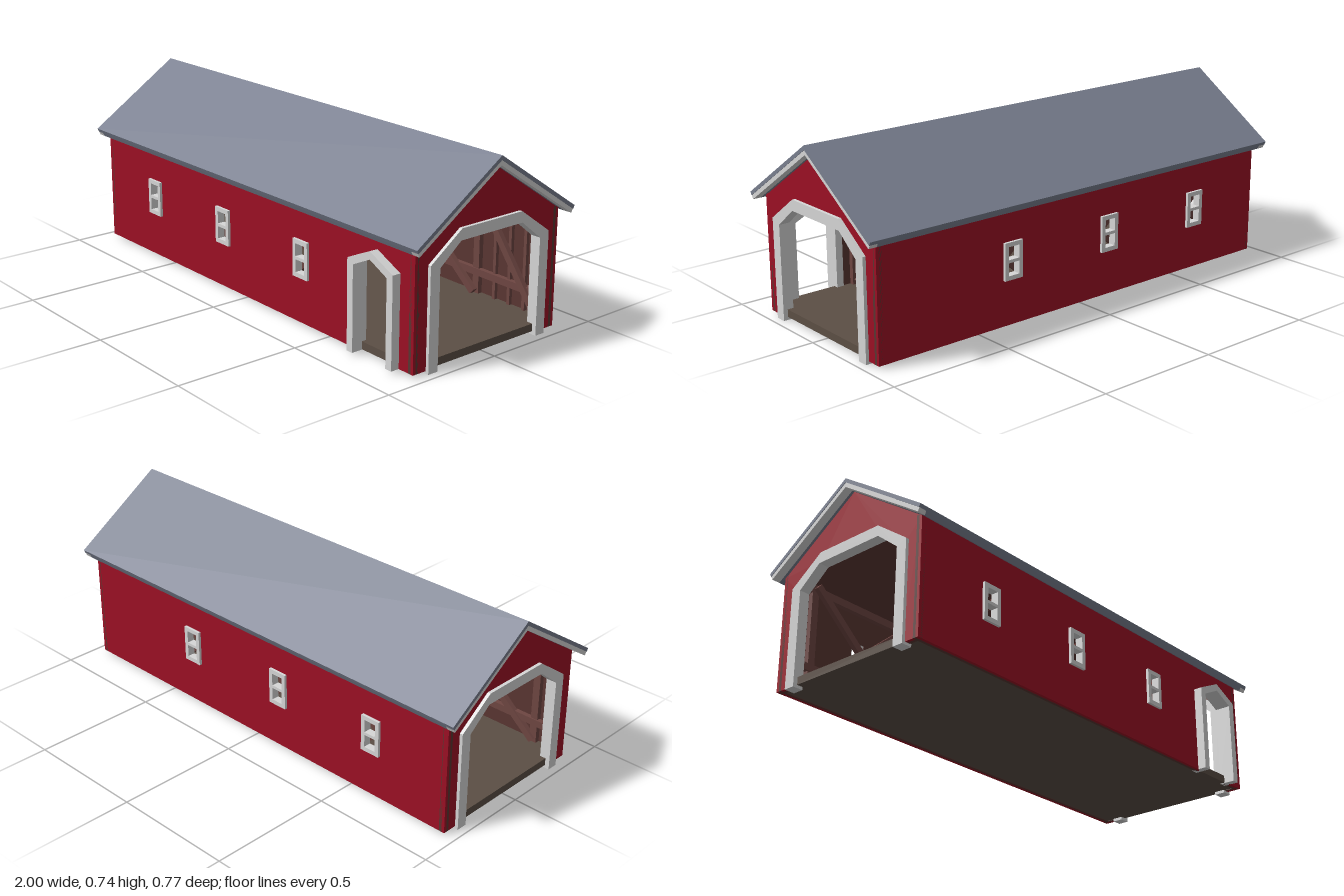
import * as THREE from 'three';

const mat = (name, color) => Object.assign(new THREE.MeshStandardMaterial({ color }), { name });

export function createModel() {
  const red = mat('barn red', 0x9c1024);
  const white = mat('trim white', 0xd6d6d6);
  const slate = mat('slate grey', 0x7a8090);
  const plank = mat('inner plank brown', 0x5a3632);
  const timber = mat('timber brown', 0x6e4642);
  const deckBrown = mat('deck brown', 0x5c4f45);

  const model = new THREE.Group();
  model.name = 'coveredBridge';

  const add = (name, geometry, material) => {
    const mesh = new THREE.Mesh(geometry, material);
    mesh.name = name;
    model.add(mesh);
    return mesh;
  };
  const shapeOf = (pts) => new THREE.Shape(pts.map(([x, y]) => new THREE.Vector2(x, y)));
  const rect = (x, y, w, h) => [[x - w / 2, y - h / 2], [x + w / 2, y - h / 2], [x + w / 2, y + h / 2], [x - w / 2, y + h / 2]];
  // Outline in x/y, extruded from z0 to z1
  const slab = (pts, z0, z1, holes = []) => {
    const s = shapeOf(pts);
    holes.forEach((h) => s.holes.push(shapeOf(h)));
    return new THREE.ExtrudeGeometry(s, { depth: z1 - z0, bevelEnabled: false }).translate(0, 0, z0);
  };
  // Same, but with the outline across the bridge and extruded along x
  const crossSlab = (pts, x0, x1) => slab(pts, x0, x1).rotateY(Math.PI / 2);
  const mirror = (pts) => [...pts, ...pts.map(([x, y]) => [-x, y]).reverse()];

  const halfX = 0.955, halfZ = 0.35, base = 0.01, skin = 0.012;
  const windowsX = [-0.605, -0.13, 0.355], windowY = 0.262;
  const doorX = 0.767;

  // Deck
  add('deck', new THREE.BoxGeometry(1.9, 0.03, 0.68).translate(0, 0.027, 0), deckBrown);

  // Long walls: red boards outside, brown planks inside
  const backOutline = [[-halfX, base], [halfX, base], [halfX, 0.475], [-halfX, 0.475]];
  const frontOutline = [
    [-halfX, base], [doorX - 0.1, base], [doorX - 0.1, 0.35], [doorX, 0.395], [doorX + 0.1, 0.35],
    [doorX + 0.1, base], [halfX, base], [halfX, 0.475], [-halfX, 0.475],
  ];
  const windowHoles = windowsX.map((x) => rect(x, windowY, 0.062, 0.122));
  add('frontWall', slab(frontOutline, halfZ - skin, halfZ, windowHoles), red);
  add('frontWallLining', slab(frontOutline, halfZ - 2 * skin, halfZ - skin, windowHoles), plank);
  add('backWall', slab(backOutline, -halfZ, -halfZ + skin, windowHoles), red);
  add('backWallLining', slab(backOutline, -halfZ + skin, -halfZ + 2 * skin, windowHoles), plank);

  // Windows: frame with a middle rail
  for (const side of [1, -1]) {
    for (const x of windowsX) {
      const z0 = side > 0 ? halfZ - 0.02 : -halfZ - 0.011;
      add('windowFrame', slab(rect(x, windowY, 0.084, 0.146), z0, z0 + 0.031, [
        rect(x, windowY + 0.031, 0.05, 0.05),
        rect(x, windowY - 0.031, 0.05, 0.05),
      ]), white);
    }
  }

  // Side door frame
  const doorFrame = mirror([
    [0.117, base], [0.117, 0.36], [0, 0.414],
  ]).filter((p, i) => i !== 3);
  const doorInner = [[-0.087, base], [-0.087, 0.342], [0, 0.384], [0.087, 0.342], [0.087, base]];
  add('doorFrame', slab([...doorFrame, ...doorInner], halfZ - 0.03, 0.385).translate(doorX, 0, 0), white);

  // Gable ends with portal openings
  const opening = mirror([[-0.27, base], [-0.27, 0.388], [-0.147, 0.475]]);
  const gable = [[halfZ, base], [halfZ, 0.466], [0, 0.699], [-halfZ, 0.466], [-halfZ, base], ...opening];
  const portal = [
    ...mirror([[0.29, 0], [0.29, 0.396], [0.147, 0.498]]),
    ...mirror([[-0.246, 0], [-0.246, 0.378], [-0.15, 0.455]]),
  ];
  for (const side of [1, -1]) {
    const span = (a, b) => (side > 0 ? [a, b] : [-b, -a]);
    add('gableWall', crossSlab(gable, ...span(halfX - skin, halfX)), red);
    add('gableLining', crossSlab(gable, ...span(halfX - 2 * skin, halfX - skin)), plank);
    add('portalFrame', crossSlab(portal, ...span(0.925, 0.968)), white);
  }

  // Roof: grey sheet on top, white bargeboards showing at the ends
  const chevron = (top, bottom) => [
    [top[0], top[1]], [0, top[2]], [-top[0], top[1]], [-bottom[0], bottom[1]], [0, bottom[2]], [bottom[0], bottom[1]],
  ];
  const upper = [0.385, 0.48, 0.735], middle = [0.379, 0.467, 0.718], lower = [0.372, 0.453, 0.699];
  add('roofSheet', crossSlab(chevron(upper, middle), -1, 1), slate);
  add('roofCore', crossSlab(chevron(middle, lower), -0.965, 0.965), slate);
  add('rightBargeboard', crossSlab(chevron(middle, lower), -0.998, -0.965), white);
  add('leftBargeboard', crossSlab(chevron(middle, lower), 0.965, 0.998), white);
  add('ceilingBoards', crossSlab(chevron([0.335, 0.477, 0.699], [0.335, 0.467, 0.689]), -0.935, 0.935), plank);

  // Inner truss: posts, rails and diagonal braces
  const beam = (name, x0, y0, x1, y1, z, width) => {
    const length = Math.hypot(x1 - x0, y1 - y0);
    const mesh = add(name, new THREE.BoxGeometry(length, width, 0.02), timber);
    mesh.position.set((x0 + x1) / 2, (y0 + y1) / 2, z);
    mesh.rotation.z = Math.atan2(y1 - y0, x1 - x0);
  };
  const bays = [-0.843, -0.367, 0.112, 0.6];
  for (const side of [1, -1]) {
    const z = side * 0.316;
    const end = side > 0 ? 0.6 : 0.925;
    bays.forEach((x) => beam('post', x, 0.04, x, 0.47, z, 0.03));
    for (let i = 0; i < 3; i++) {
      beam('brace', bays[i], 0.05, bays[i + 1], 0.46, z - side * 0.01, 0.028);
      beam('brace', bays[i], 0.46, bays[i + 1], 0.05, z - side * 0.02, 0.028);
    }
    beam('lowerRail', -0.925, 0.13, end, 0.13, z - side * 0.005, 0.028);
    beam('topRail', -0.925, 0.45, 0.925, 0.45, z, 0.03);
  }
  beam('endBrace', 0.62, 0.44, 0.915, 0.05, -0.3, 0.028);
  for (const x of [0.69, 0.765, 0.84]) beam('stud', x, 0.04, x, 0.46, -0.322, 0.014);

  return model;
}
